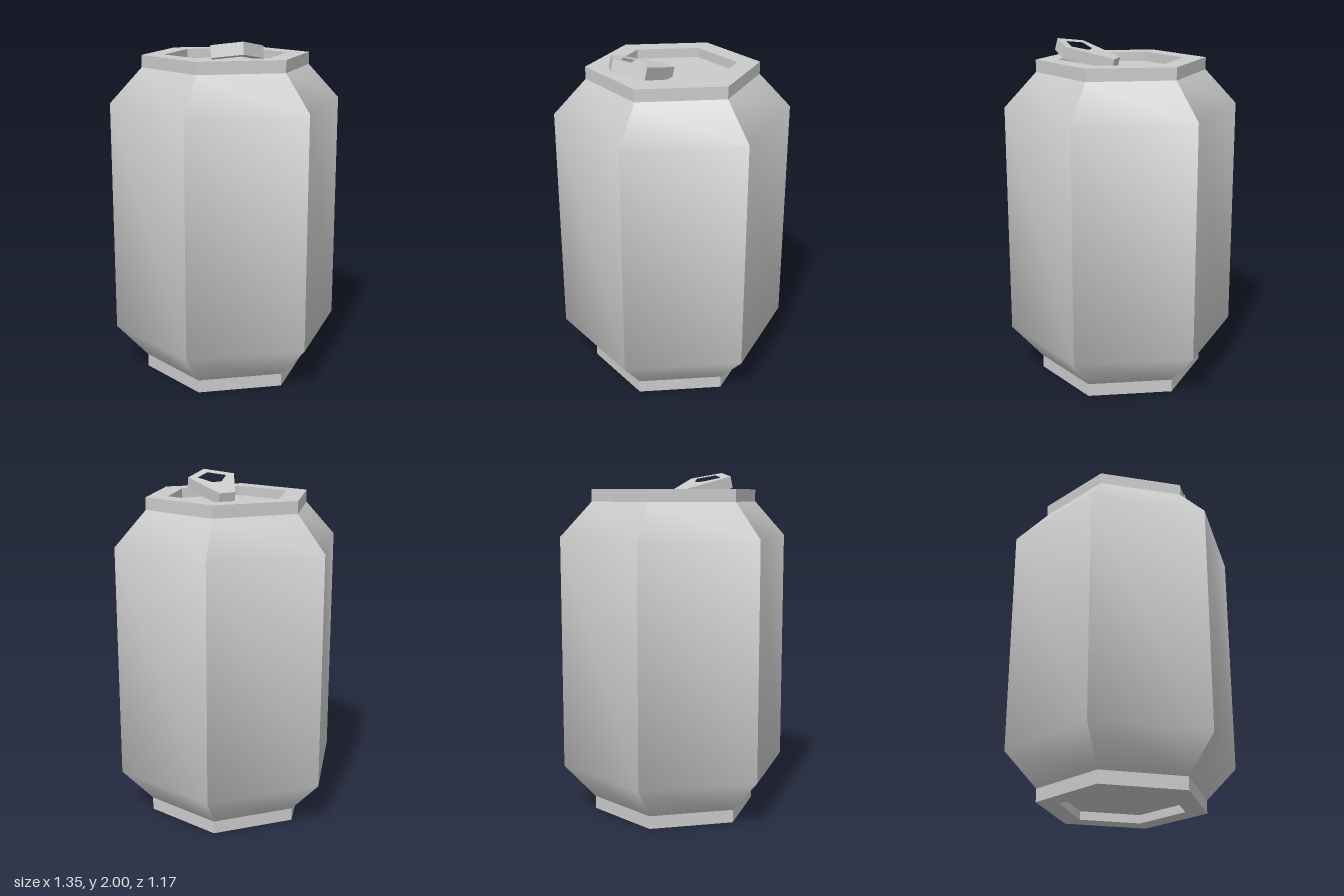
import * as THREE from 'three';
import { toCreasedNormals } from 'three/addons/utils/BufferGeometryUtils.js';

const TILT = THREE.MathUtils.degToRad(15);

export function createModel() {
  const can = new THREE.Group();
  can.name = 'can';
  const material = new THREE.MeshStandardMaterial({ color: 0xcccccc });

  const add = (name, geometry) => {
    const mesh = new THREE.Mesh(geometry, material);
    mesh.name = name;
    can.add(mesh);
    return mesh;
  };

  // Six-sided turned part with a corner on +x; profile runs bottom to top as [radius, y]
  const hexLathe = (profile, crease) => toCreasedNormals(
    new THREE.LatheGeometry(profile.map(([r, y]) => new THREE.Vector2(r, y)), 6, Math.PI / 2),
    crease
  );

  // Wall and sloped shoulders, shaded smoothly up each side but sharp at the six corners
  add('body', hexLathe([[0.49, 0.075], [0.675, 0.275], [0.675, 1.63], [0.49, 1.83]], 0.74));

  // Rims with recessed end panels
  add('bottomRim', hexLathe([[0, 0.05], [0.36, 0.05], [0.36, 0], [0.49, 0], [0.49, 0.075]], 0.1));
  add('topRim', hexLathe([[0.49, 1.83], [0.49, 1.9], [0.36, 1.9], [0.36, 1.845], [0, 1.845]], 0.1));

  // Pull tab: five-sided plate with a finger hole, tilted up towards the front
  const outline = (points) => points.map(([x, z]) => new THREE.Vector2(x, -z / Math.cos(TILT)));
  const plate = new THREE.Shape(outline(
    [[-0.055, 0.033], [0.045, 0.025], [0.152, 0.278], [0.013, 0.402], [-0.148, 0.313]]
  ));
  plate.holes.push(new THREE.Path(outline(
    [[-0.03, 0.2], [0.03, 0.19], [0.095, 0.27], [0.01, 0.345], [-0.09, 0.29]]
  )));
  const tabGeometry = new THREE.ExtrudeGeometry(plate, { depth: 0.07, bevelEnabled: false });
  tabGeometry.rotateX(-Math.PI / 2).translate(0, -0.07, 0).rotateX(-TILT);
  add('pullTab', tabGeometry).position.y = 1.892;

  return can;
}
